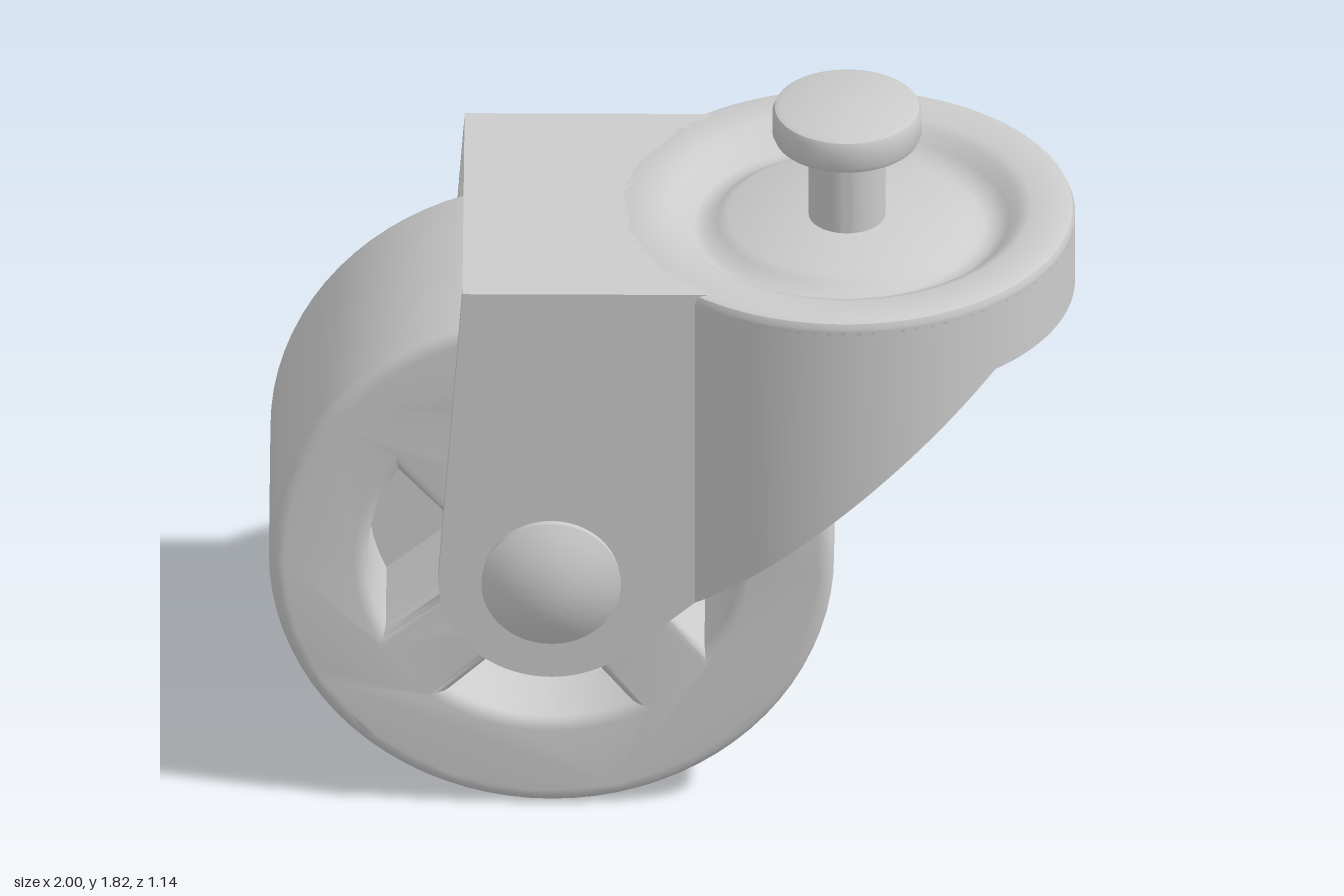
import * as THREE from 'three';
import { toCreasedNormals } from 'three/addons/utils/BufferGeometryUtils.js';

const WHEEL = { x: -0.3, y: 0.7 };
const HEAD_X = 0.425, HEAD_R = 0.57, WALL = 0.045, TOP = 1.525;

const material = new THREE.MeshStandardMaterial({ color: 0xcccccc });
const doubleSided = new THREE.MeshStandardMaterial({ color: 0xcccccc, side: THREE.DoubleSide });
const v2 = (p) => new THREE.Vector2(p[0], p[1]);

function part(name, geometry, x = 0, y = 0, z = 0, mat = material) {
  const mesh = new THREE.Mesh(toCreasedNormals(geometry, 0.6), mat);
  mesh.name = name;
  mesh.position.set(x, y, z);
  return mesh;
}

const lathe = (points, segments = 64) => new THREE.LatheGeometry(points.map(v2), segments);

// Lower edge of the fork: slanted, then level under the swivel head
const lowerEdge = (x) => Math.min(1.31, 1.31 - (0.8 - x) * 0.907);

// Wheel body with four rounded windows between parallel-sided spokes
function wheelGeometry() {
  const shape = new THREE.Shape().absarc(0, 0, 0.665, 0, Math.PI * 2);
  for (let k = 0; k < 4; k++) {
    const a = (k * 90 - 4) * Math.PI / 180, outer = 0.6, inner = 0.44;
    const hole = new THREE.Path();
    hole.absarc(0, 0, 0.49, a - outer, a + outer, false);
    hole.absarc(0, 0, 0.235, a + inner, a - inner, true);
    hole.closePath();
    shape.holes.push(hole);
  }
  const g = new THREE.ExtrudeGeometry(shape, {
    depth: 0.615, bevelThickness: 0.03, bevelSize: 0.035, bevelSegments: 4, curveSegments: 40,
  });
  return g.translate(0, 0, -0.3);
}

// Flat cheek of the fork, with the axle hole
function cheekGeometry() {
  const s = new THREE.Shape();
  s.moveTo(0.06, lowerEdge(0.06));
  s.lineTo(0.06, TOP - 0.005);
  s.lineTo(-0.52, TOP - 0.005);
  s.lineTo(-0.58, WHEEL.y);
  s.absarc(WHEEL.x, WHEEL.y, 0.28, Math.PI, Math.PI * 1.735, false);
  s.closePath();
  s.holes.push(new THREE.Path().absarc(WHEEL.x, WHEEL.y, 0.08, 0, Math.PI * 2));
  return new THREE.ExtrudeGeometry(s, { depth: WALL, bevelEnabled: false, curveSegments: 32 });
}

// Curved skirt under the swivel head, cut along the lower edge
function skirtGeometry() {
  const n = 96, end = Math.PI - Math.asin(0.435 / HEAD_R), pos = [], index = [];
  for (let i = 0; i <= n; i++) {
    const a = -end + 2 * end * i / n;
    const at = (r) => [HEAD_X + r * Math.cos(a), r * Math.sin(a)];
    const [ox, oz] = at(HEAD_R), [ix, iz] = at(HEAD_R - WALL);
    pos.push(ox, 1.5, oz, ox, lowerEdge(ox), oz, ix, lowerEdge(ix), iz, ix, 1.5, iz);
    if (i === n) continue;
    for (let j = 0; j < 3; j++) {
      const p = i * 4 + j;
      index.push(p, p + 4, p + 1, p + 1, p + 4, p + 5);
    }
  }
  const g = new THREE.BufferGeometry();
  g.setAttribute('position', new THREE.Float32BufferAttribute(pos, 3));
  g.setIndex(index);
  g.computeVertexNormals();
  return g;
}

// Rear top plate, hollowed to meet the round head
function rearPlateGeometry() {
  const r = 0.54, a = Math.asin(0.435 / r);
  const s = new THREE.Shape();
  s.moveTo(-0.52, -0.435);
  s.lineTo(HEAD_X - r * Math.cos(a), -0.435);
  s.absarc(HEAD_X, 0, r, Math.PI + a, Math.PI - a, true);
  s.lineTo(-0.52, 0.435);
  s.closePath();
  const g = new THREE.ExtrudeGeometry(s, { depth: WALL, bevelEnabled: false, curveSegments: 32 });
  return g.rotateX(Math.PI / 2);
}

export function createModel() {
  const model = new THREE.Group();
  model.name = 'casterWheel';

  // Wheel, closing web and hub
  const wheel = new THREE.Group();
  wheel.name = 'wheel';
  wheel.position.set(WHEEL.x, WHEEL.y, 0);
  const disc = (r, depth) => new THREE.CylinderGeometry(r, r, depth, 48).rotateX(Math.PI / 2);
  wheel.add(
    part('tyreAndSpokes', wheelGeometry()),
    part('web', disc(0.52, 0.1)),
    part('hub', disc(0.235, 0.78)),
  );
  model.add(wheel);

  // Fork
  const fork = new THREE.Group();
  fork.name = 'fork';
  fork.add(
    part('leftCheek', cheekGeometry(), 0, 0, 0.39),
    part('rightCheek', cheekGeometry(), 0, 0, -0.435),
    part('skirt', skirtGeometry(), 0, 0, 0, doubleSided),
    part('rearPlate', rearPlateGeometry(), 0, TOP, 0),
  );

  // Swivel head with pressed ring groove
  const surface = [[0.55, TOP], [0.46, TOP], [0.43, 1.512], [0.405, 1.485], [0.375, 1.465],
    [0.345, 1.465], [0.315, 1.485], [0.29, 1.5], [0, 1.5]];
  const underside = surface.slice(1).reverse().map(([r, y]) => [r, y - WALL]);
  fork.add(part('swivelHead', lathe([
    ...underside, [0.565, TOP - WALL], [HEAD_R, 1.49], [HEAD_R, 1.505], [0.564, 1.519], ...surface,
  ], 96), HEAD_X));
  model.add(fork);

  // Mounting pin with rounded head
  model.add(part('mountingPin', lathe([
    [0.095, 1.49], [0.095, 1.72], [0.165, 1.72], [0.179, 1.726], [0.185, 1.74],
    [0.185, 1.795], [0.179, 1.809], [0.165, 1.815], [0, 1.815],
  ]), 0.43));

  // Domed axle cap on the front
  const dome = [[0.17, 0.43], [0.173, 0.455]];
  for (let i = 1; i <= 8; i++) {
    const r = 0.173 * (1 - i / 8);
    dome.push([r, 0.51 - 0.055 * (r / 0.173) ** 2]);
  }
  model.add(part('axleCap', lathe(dome, 48).rotateX(Math.PI / 2), WHEEL.x, WHEEL.y));

  // Rolled rivet ring on the back
  const ring = [];
  for (let i = 0; i <= 12; i++) {
    const a = Math.PI * i / 12;
    ring.push([0.114 + 0.038 * Math.cos(a), 0.44 + 0.042 * Math.sin(a)]);
  }
  model.add(part('rivetRing', lathe([[0.152, 0.43], ...ring, [0.076, 0.385]], 48)
    .rotateX(-Math.PI / 2), WHEEL.x, WHEEL.y));

  return model;
}
